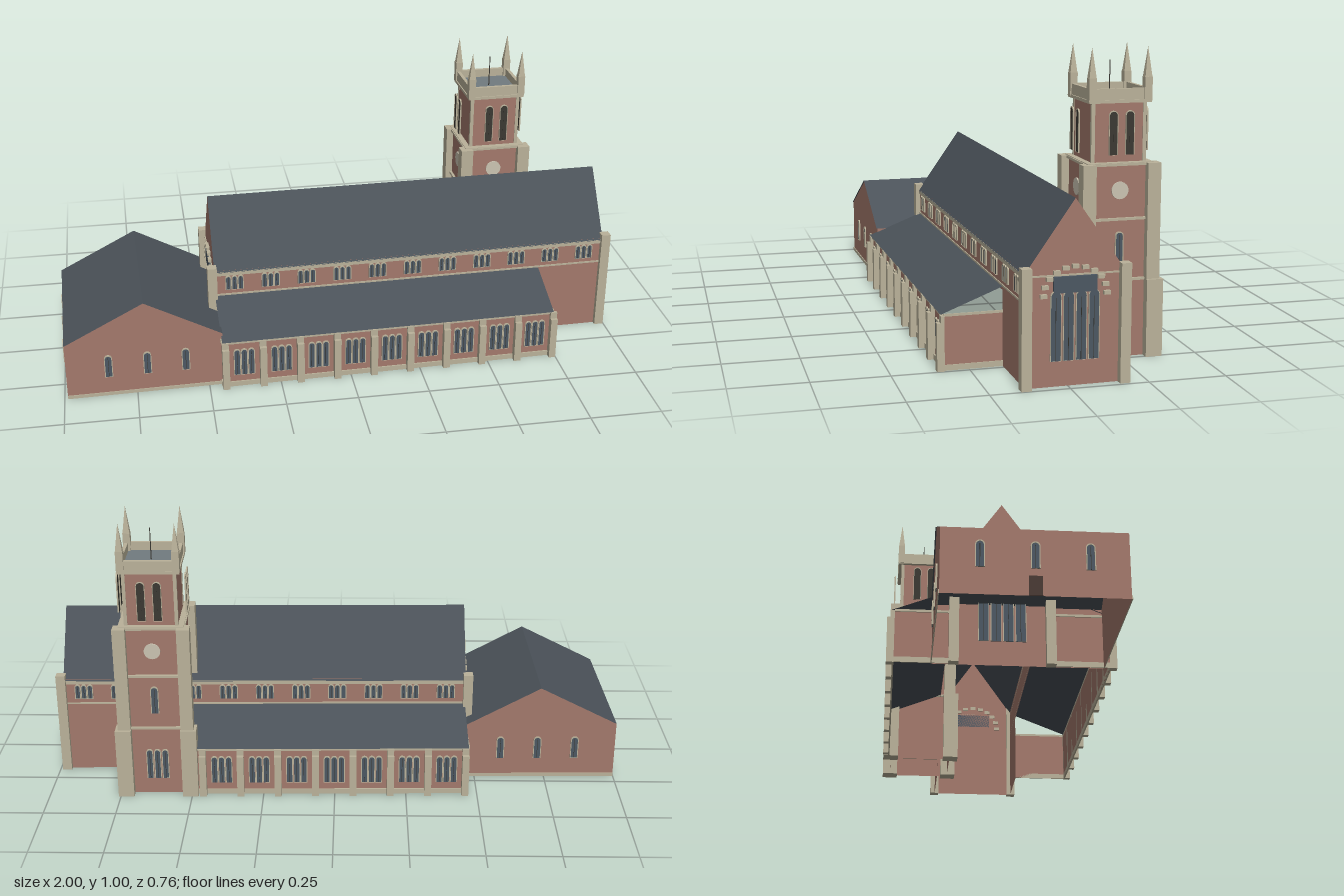
import * as THREE from 'three';

const mat = (color) => new THREE.MeshStandardMaterial({ color, side: THREE.DoubleSide, flatShading: true });
const BRICK = mat(0xa3796c), STONE = mat(0xbab29a), SLATE = mat(0x4b5259), GLASS = mat(0x4c5863),
  LOUVRE = mat(0x3b3933), DIAL = mat(0xcbc4b2), LEAD = mat(0x727b80), DOOR = mat(0x4a3a34);

function add(parent, name, geometry, material, x = 0, y = 0, z = 0) {
  const mesh = new THREE.Mesh(geometry, material);
  mesh.name = name;
  mesh.position.set(x, y, z);
  parent.add(mesh);
  return mesh;
}

function group(parent, name, x = 0, y = 0, z = 0, turn = 0) {
  const g = new THREE.Group();
  g.name = name;
  g.position.set(x, y, z);
  g.rotation.y = turn;
  parent.add(g);
  return g;
}

// Box given by its lower and upper corners
function block(parent, name, [x0, y0, z0], [x1, y1, z1], material) {
  return add(parent, name, new THREE.BoxGeometry(Math.abs(x1 - x0), y1 - y0, Math.abs(z1 - z0)), material,
    (x0 + x1) / 2, (y0 + y1) / 2, (z0 + z1) / 2);
}

// Flat convex sheet through the given corners
function sheet(parent, name, corners, material) {
  const g = new THREE.BufferGeometry();
  g.setAttribute('position', new THREE.Float32BufferAttribute(corners.flat(), 3));
  const index = [];
  for (let i = 1; i < corners.length - 1; i++) index.push(0, i, i + 1);
  g.setIndex(index);
  g.computeVertexNormals();
  return add(parent, name, g, material);
}

// Round-headed outline standing on y = 0
function arch(path, w, h) {
  const r = w / 2;
  path.moveTo(-r, 0);
  path.lineTo(r, 0);
  path.lineTo(r, h - r);
  path.absarc(0, h - r, r, 0, Math.PI, false);
  path.lineTo(-r, 0);
  return path;
}

// Row of arched lights with stone surrounds, facing the local +z
function lancets(parent, name, x, y, z, turn, n, w, h, pitch, pane = GLASS, rim = 0.003) {
  const g = group(parent, name, x, y, z, turn);
  const glass = new THREE.ExtrudeGeometry(arch(new THREE.Shape(), w, h),
    { depth: 0.003, bevelEnabled: false, curveSegments: 6 });
  const outline = arch(new THREE.Shape(), w + 2 * rim, h + rim);
  outline.holes.push(arch(new THREE.Path(), w, h - 0.001));
  const frame = new THREE.ExtrudeGeometry(outline, { depth: 0.005, bevelEnabled: false, curveSegments: 6 });
  for (let i = 0; i < n; i++) {
    const px = (i - (n - 1) / 2) * pitch;
    add(g, 'pane', glass, pane, px);
    if (rim > 0) add(g, 'surround', frame, STONE, px);
    add(g, 'mullion', new THREE.BoxGeometry(0.0015, h * 0.9, 0.001), LOUVRE, px, h * 0.46, 0.0035);
  }
  return g;
}

const W = -0.46, E = 0.97, HALF = 0.155, EAVE = 0.355, RIDGE = 0.575;
const OUT = 0.345, BAY = 0.1311;

function buildNave(root) {
  const nave = group(root, 'nave');
  for (const x of [W, E]) {
    sheet(nave, 'gableWall', [[x, 0, HALF], [x, 0, -HALF], [x, EAVE, -HALF], [x, RIDGE, 0], [x, EAVE, HALF]], BRICK);
    const s = Math.sign(x), turn = s * Math.PI / 2;
    // Great end window with its arch of separate stones
    const win = group(nave, 'endWindow', x, 0, 0, turn);
    lancets(win, 'lights', 0, 0.08, 0.002, 0, 4, 0.031, 0.215, 0.04, GLASS, 0.002);
    block(win, 'windowHead', [-0.068, 0.29, 0], [0.068, 0.34, 0.009], GLASS);
    block(win, 'stringCourse', [-HALF, 0.341, 0], [HALF, 0.346, 0.004], STONE);
    for (let i = 0; i < 11; i++) {
      const a = Math.PI * i / 10;
      add(win, 'archStone', new THREE.BoxGeometry(0.021, 0.012, 0.016), STONE,
        0.1 * Math.cos(a), 0.283 + 0.087 * Math.sin(a), 0.004);
    }
    // Corner buttresses
    for (const k of [-1, 1])
      block(nave, 'cornerButtress', [x - s * 0.008, 0, k * 0.14], [x + s * 0.025, 0.373, k * 0.172], STONE);
  }
  for (const k of [-1, 1]) {
    const z = k * HALF;
    sheet(nave, 'roofSlope', [[W, RIDGE, 0], [E, RIDGE, 0], [E, EAVE - 0.007, z * 1.03], [W, EAVE - 0.007, z * 1.03]], SLATE);
    sheet(nave, 'clerestoryWall', [[W, 0.245, z], [E, 0.245, z], [E, EAVE, z], [W, EAVE, z]], BRICK);
    sheet(nave, 'chancelWall', [[0.73, 0, z], [E, 0, z], [E, 0.25, z], [0.73, 0.25, z]], BRICK);
    block(nave, 'eavesCourse', [W, 0.336, z], [E, 0.35, z + k * 0.004], STONE);
    block(nave, 'sillCourse', [W, 0.258, z], [E, 0.264, z + k * 0.003], STONE);
    for (let i = 0; i < 11; i++)
      lancets(nave, 'clerestoryWindow', -0.39 + i * 0.129, 0.28, z + k * 0.001, k > 0 ? 0 : Math.PI, 3, 0.015, 0.052, 0.022);
  }
}

// Lean-to aisle; k = 1 front, -1 back
function buildAisle(root, k, end, bays) {
  const aisle = group(root, k > 0 ? 'frontAisle' : 'backAisle');
  const zi = k * HALF, zo = k * OUT, top = 0.18;
  sheet(aisle, 'outerWall', [[W, 0, zo], [end, 0, zo], [end, top, zo], [W, top, zo]], BRICK);
  for (const x of [W, end]) {
    sheet(aisle, 'endWall', [[x, 0, zi], [x, 0, zo], [x, top, zo], [x, top, zi]], BRICK);
    const s = x === W ? -1 : 1;
    block(aisle, 'endPlinth', [x, 0, zi], [x + s * 0.004, 0.018, zo], STONE);
    block(aisle, 'endCourse', [x, 0.174, zi], [x + s * 0.004, 0.182, zo], STONE);
  }
  sheet(aisle, 'aisleRoof', [[W, 0.257, zi], [end, 0.257, zi], [end, top, zo + k * 0.01], [W, top, zo + k * 0.01]], SLATE);
  block(aisle, 'plinth', [W, 0, zo], [end, 0.018, zo + k * 0.005], STONE);
  block(aisle, 'eavesCourse', [W, 0.17, zo], [end, 0.18, zo + k * 0.005], STONE);
  for (let i = 0; i <= bays; i++) {
    const x = -0.45 + i * BAY;
    block(aisle, 'buttress', [x - 0.012, 0, zo], [x + 0.012, 0.155, zo + k * 0.024], STONE);
    block(aisle, 'buttressTop', [x - 0.012, 0.155, zo], [x + 0.012, 0.178, zo + k * 0.012], STONE);
    if (i < bays)
      lancets(aisle, 'aisleWindow', x + BAY / 2, 0.045, zo + k * 0.001, k > 0 ? 0 : Math.PI, 3, 0.018, 0.1, 0.025);
  }
}

function buildHall(root) {
  const hall = group(root, 'westHall');
  const x0 = -0.995, x1 = -0.455, xm = -0.72, z0 = -0.225, z1 = 0.325, yl = 0.21, yr = 0.205, yt = 0.35;
  for (const z of [z0, z1]) {
    sheet(hall, 'gableWall', [[x0, 0, z], [x1, 0, z], [x1, yr, z], [xm, yt, z], [x0, yl, z]], BRICK);
    const k = z > 0 ? 1 : -1;
    block(hall, 'plinth', [x0, 0, z], [x1, 0.012, z + k * 0.003], STONE);
    for (const x of [-0.85, -0.717, -0.585])
      lancets(hall, 'hallWindow', x, 0.075, z + k * 0.001, k > 0 ? 0 : Math.PI, 1, 0.022, 0.082, 0);
  }
  for (const [x, y] of [[x0, yl], [x1, yr]]) {
    sheet(hall, 'sideWall', [[x, 0, z0], [x, 0, z1], [x, y, z1], [x, y, z0]], BRICK);
    sheet(hall, 'roofSlope', [[xm, yt, z0 - 0.004], [xm, yt, z1 + 0.004], [x, y, z1 + 0.004], [x, y, z0 - 0.004]], SLATE);
  }
  for (const z of [-0.11, 0.05, 0.21])
    lancets(hall, 'hallWindow', x0 - 0.001, 0.085, z, -Math.PI / 2, 1, 0.022, 0.082, 0);
  block(hall, 'door', [x0 - 0.003, 0, 0.03], [x0, 0.062, 0.07], DOOR);
}

function buildTower(root) {
  const tower = group(root, 'tower', 0.625, 0, -0.228);
  for (let i = 0; i < 4; i++) {
    const side = group(tower, 'towerSide', 0, 0, 0, i * Math.PI / 2);
    const wall = (name, y0, y1, h) => sheet(side, name, [[-h, y0, h], [h, y0, h], [h, y1, h], [-h, y1, h]], BRICK);
    wall('lowerWall', 0, 0.255, 0.11);
    wall('middleWall', 0.255, 0.63, 0.105);
    wall('belfryWall', 0.63, 0.825, 0.09);
    for (const y of [0.25, 0.447, 0.622])
      block(side, 'stringCourse', [-0.108, y, 0.1], [0.108, y + 0.008, 0.114], STONE);
    // Clasping corner buttress in two stages
    block(side, 'lowerButtress', [0.085, 0, 0.085], [0.14, 0.255, 0.14], STONE);
    block(side, 'upperButtress', [0.086, 0.255, 0.086], [0.13, 0.63, 0.13], STONE);
    block(side, 'belfryCorner', [0.08, 0.63, 0.08], [0.092, 0.825, 0.092], STONE);
    const dial = add(side, 'clockFace', new THREE.CylinderGeometry(0.028, 0.028, 0.006, 24), DIAL, 0, 0.543, 0.107);
    dial.rotation.x = Math.PI / 2;
    if (i > 0) lancets(side, 'stairWindow', 0, 0.31, 0.106, 0, 1, 0.022, 0.098, 0);
    if (i === 2) lancets(side, 'baseWindow', 0, 0.06, 0.111, 0, 3, 0.018, 0.11, 0.027);
    // Belfry louvres stand proud of the wall
    lancets(side, 'belfryLouvres', 0, 0.658, 0.113, 0, 2, 0.026, 0.138, 0.055, LOUVRE, 0.002);
    // Parapet and pinnacle
    block(side, 'parapet', [-0.1, 0.825, 0.088], [0.1, 0.865, 0.1], STONE);
    block(side, 'parapetCourse', [-0.103, 0.82, 0.088], [0.103, 0.83, 0.104], STONE);
    block(side, 'pinnacleShaft', [0.08, 0.825, 0.08], [0.105, 0.9, 0.105], STONE);
    const spire = add(side, 'pinnacleSpire', new THREE.ConeGeometry(0.0165, 0.095, 4), STONE, 0.0925, 0.9475, 0.0925);
    spire.rotation.y = Math.PI / 4;
  }
  block(tower, 'stageLedge', [-0.11, 0.624, -0.11], [0.11, 0.632, 0.11], STONE);
  block(tower, 'towerRoof', [-0.089, 0.83, -0.089], [0.089, 0.836, 0.089], LEAD);
  add(tower, 'flagpole', new THREE.CylinderGeometry(0.0015, 0.002, 0.115, 6), LOUVRE, 0, 0.89, 0);
}

export function createModel() {
  const root = new THREE.Group();
  root.name = 'church';
  const building = group(root, 'building', 0, 0, 0, 0.02);
  buildNave(building);
  buildAisle(building, 1, 0.73, 9);
  buildAisle(building, -1, 0.52, 7);
  buildHall(building);
  buildTower(building);
  return root;
}
